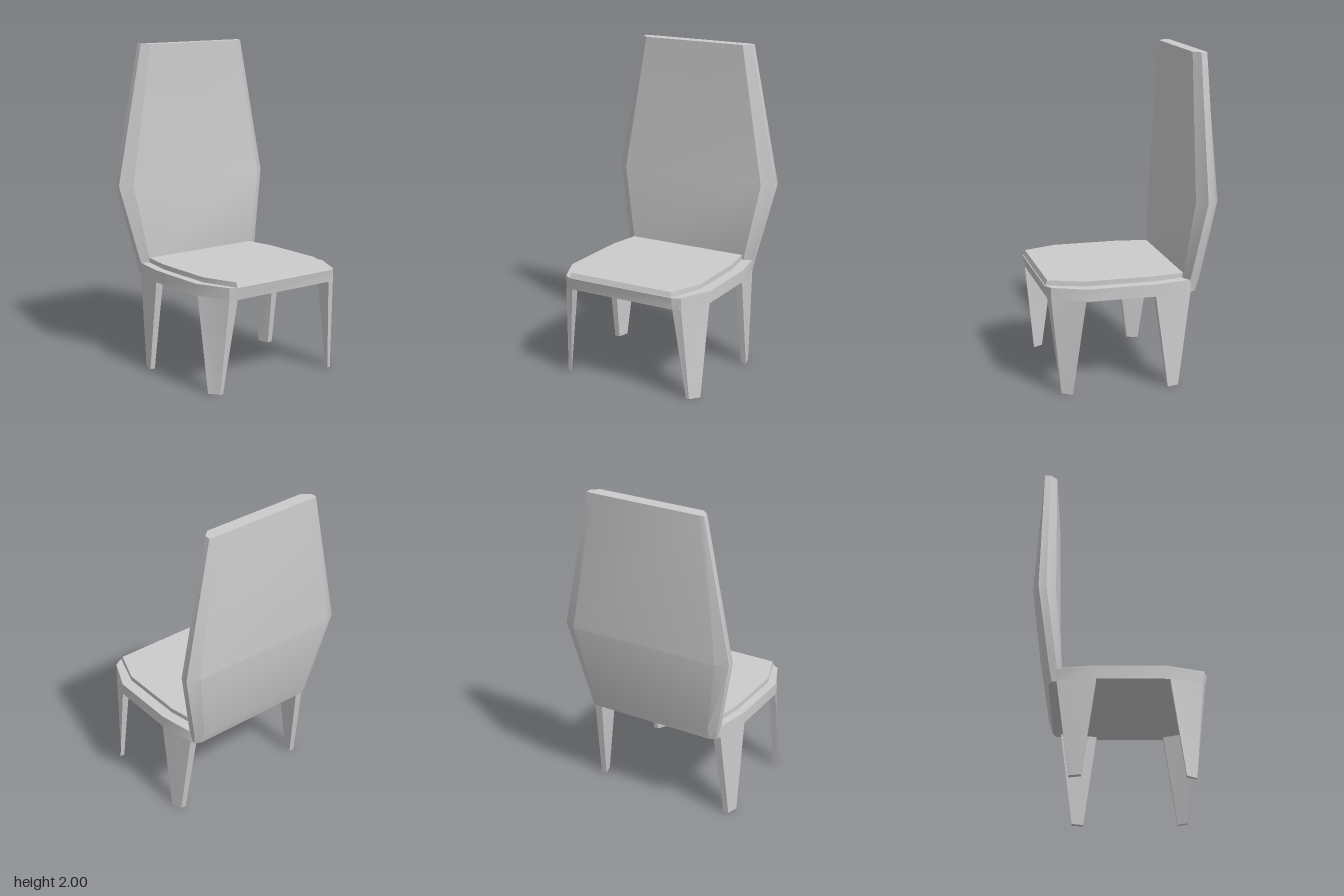
import * as THREE from 'three';
import { toCreasedNormals } from 'three/addons/utils/BufferGeometryUtils.js';

const material = new THREE.MeshStandardMaterial({ color: 0xcccccc });

// Closed skin over rings of [x, y, z] points, capped at both ends, always facing outwards
function loft(name, rings, crease = 0.5) {
  const n = rings[0].length;
  const tris = [];
  for (let r = 0; r < rings.length - 1; r++) {
    for (let i = 0; i < n; i++) {
      const j = (i + 1) % n;
      const a = rings[r][i], b = rings[r][j], c = rings[r + 1][j], d = rings[r + 1][i];
      tris.push([a, b, c], [a, c, d]);
    }
  }
  const first = rings[0], last = rings[rings.length - 1];
  for (let i = 1; i < n - 1; i++) {
    tris.push([first[0], first[i + 1], first[i]], [last[0], last[i], last[i + 1]]);
  }
  const v = (p) => new THREE.Vector3(...p);
  const volume = tris.reduce((s, [a, b, c]) => s + v(a).dot(v(b).cross(v(c))), 0);
  if (volume < 0) tris.forEach((t) => t.reverse());
  const geometry = new THREE.BufferGeometry();
  geometry.setAttribute('position', new THREE.Float32BufferAttribute(tris.flat(2), 3));
  const mesh = new THREE.Mesh(toCreasedNormals(geometry, crease), material);
  mesh.name = name;
  return mesh;
}

// Horizontal ring from half an outline of [x, z] points, mirrored across x
function mirroredRing(y, half, shift = 0) {
  const right = half.map(([x, z]) => [x + shift, y, z]);
  const left = half.map(([x, z]) => [-x + shift, y, z]).reverse();
  return [...right, ...left];
}

export function createModel() {
  const chair = new THREE.Group();
  chair.name = 'chair';

  // Seat frame with cut corners
  const corners = [[0.4, 0.48], [0.49, 0.28], [0.49, -0.14], [0.45, -0.36], [0.42, -0.4]];
  chair.add(loft('seatFrame', [
    mirroredRing(0.575, [[0.35, 0.495], ...corners]),
    mirroredRing(0.65, [[0.35, 0.508], ...corners]),
  ]));

  // Thin raised cushion, slightly off centre
  const cushionSides = [[0.43, 0.28], [0.43, -0.14], [0.392, -0.36]];
  chair.add(loft('cushion', [
    mirroredRing(0.64, [[0.35, 0.506], ...cushionSides], -0.008),
    mirroredRing(0.68, [[0.35, 0.49], ...cushionSides], -0.008),
  ]));

  // Backrest: bevelled slab, widest and furthest back at its waist
  chair.add(loft('backrest', [
    mirroredRing(0.575, [[0.4, -0.35], [0.44, -0.37], [0.44, -0.39], [0.4, -0.41]]),
    mirroredRing(0.65, [[0.4, -0.33], [0.452, -0.36], [0.452, -0.405], [0.4, -0.435]]),
    mirroredRing(1.135, [[0.49, -0.375], [0.56, -0.43], [0.56, -0.475], [0.485, -0.51]]),
    mirroredRing(2, [[0.34, -0.39], [0.385, -0.43], [0.385, -0.465], [0.35, -0.47]]),
  ]));

  // Thin tapering legs that follow the slanted seat corners
  const legs = {
    FrontLeg: {
      foot: [[0.41, 0.43], [0.43, 0.43], [0.475, 0.37], [0.445, 0.37]],
      top: [[0.35, 0.495], [0.4, 0.48], [0.487, 0.287], [0.44, 0.287]],
    },
    BackLeg: {
      foot: [[0.455, -0.215], [0.488, -0.215], [0.47, -0.285], [0.435, -0.285]],
      top: [[0.44, -0.135], [0.49, -0.135], [0.45, -0.363], [0.4, -0.363]],
    },
  };
  for (const [side, sx] of [['left', 1], ['right', -1]]) {
    for (const [name, { foot, top }] of Object.entries(legs)) {
      const ring = (y, points) => points.map(([x, z]) => [x * sx, y, z]);
      chair.add(loft(side + name, [ring(0, foot), ring(0.58, top)], 0.3));
    }
  }
  return chair;
}
